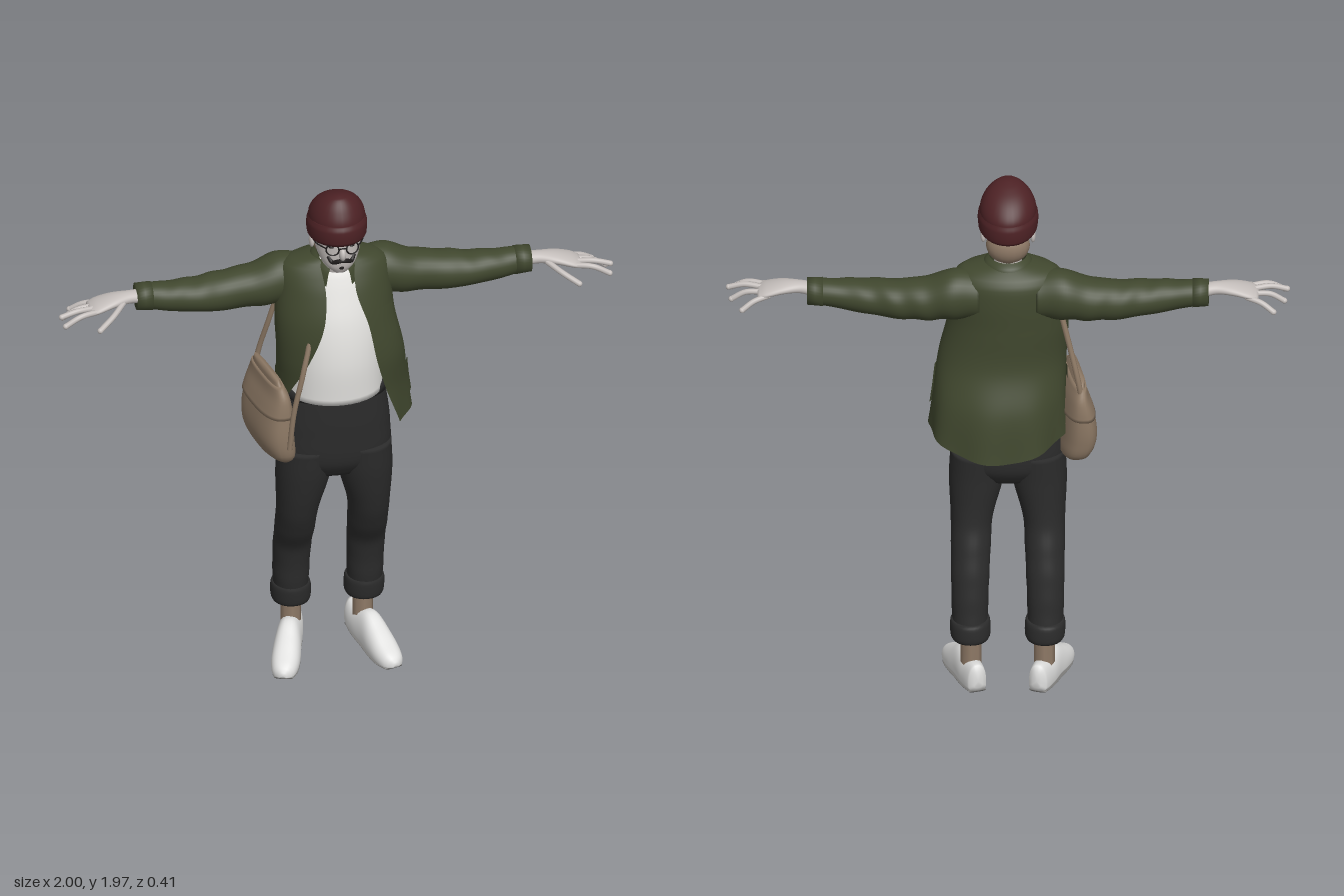
import * as THREE from 'three';

const mat = (name, color, side = THREE.FrontSide) => {
  const m = new THREE.MeshStandardMaterial({ color, side });
  m.name = name;
  return m;
};
const V = (x, y, z) => new THREE.Vector3(x, y, z);
const TAU = Math.PI * 2;

// Smoothly interpolates rows of numbers; the first column is the key.
function sample(rows, k) {
  let i = 0;
  while (i < rows.length - 2 && k > rows[i + 1][0]) i++;
  const A = rows[i], B = rows[i + 1], h = B[0] - A[0], t = (k - A[0]) / h;
  const P = rows[i - 1] || A, N = rows[i + 2] || B;
  return A.map((a, c) => {
    if (c === 0) return k;
    const m0 = (B[c] - P[c]) / (B[0] - P[0]) * h, m1 = (N[c] - A[c]) / (N[0] - A[0]) * h;
    const t2 = t * t, t3 = t2 * t;
    return (2 * t3 - 3 * t2 + 1) * a + (t3 - 2 * t2 + t) * m0 + (3 * t2 - 2 * t3) * B[c] + (t3 - t2) * m1;
  });
}

// Skin over cross-sections: point(row, u) gives each ring, u runs 0..1.
function loft(rows, point, { n = 24, m = 32, closed = true } = {}) {
  const k0 = rows[0][0], k1 = rows[rows.length - 1][0], rings = [];
  for (let i = 0; i <= n; i++) {
    const row = sample(rows, k0 + (k1 - k0) * i / n), ring = [];
    for (let j = 0; j < (closed ? m : m + 1); j++) ring.push(point(row, j / m));
    rings.push(ring);
  }
  if (closed) {
    const cap = r => {
      const c = r.reduce((s, p) => s.add(p), V(0, 0, 0)).divideScalar(r.length);
      return r.map(() => c);
    };
    rings.unshift(cap(rings[0]));
    rings.push(cap(rings[rings.length - 1]));
  }
  const w = rings[0].length, idx = [];
  for (let i = 0; i < rings.length - 1; i++) for (let j = 0; j < m; j++) {
    const a = i * w + j, b = i * w + (j + 1) % w, c = a + w, d = b + w;
    idx.push(a, c, b, b, c, d);
  }
  const g = new THREE.BufferGeometry().setFromPoints(rings.flat());
  g.setIndex(idx);
  g.computeVertexNormals();
  return g;
}

const spow = (v, e) => Math.sign(v) * Math.abs(v) ** e;
// Upright ring, rows [y, cx, cz, rx, rz]
const upright = (e = 1) => ([y, cx, cz, rx, rz], u) =>
  V(cx + rx * spow(Math.cos(u * TAU), e), y, cz + rz * spow(Math.sin(u * TAU), e));
// Ring around the x axis, rows [x, cy, cz, ry, rz]
const sideways = (fold = 0) => ([x, cy, cz, ry, rz], u) => {
  const t = u * TAU, k = 1 + fold * Math.sin(x * 48 + 2 * Math.sin(t + x * 9));
  return V(x, cy + ry * k * Math.sin(t), cz + rz * k * Math.cos(t));
};

export function createModel() {
  const root = new THREE.Group();
  root.name = 'standingMan';
  const M = {
    jacket: mat('olive jacket', 0x40472e, THREE.DoubleSide),
    pants: mat('charcoal trousers', 0x2b2b2b),
    hat: mat('maroon knit', 0x4c2124),
    shirt: mat('white shirt', 0xe4e3e0),
    shoe: mat('white shoe', 0xe0e0df),
    skin: mat('pale skin', 0xc4bebb),
    tan: mat('tan skin', 0x8f7a67),
    bag: mat('tan bag', 0x8c7864),
    dark: mat('dark hair', 0x1f1c1c),
    sole: mat('grey sole', 0x7c7b79),
  };
  const add = (name, geo, material, parent = root) => {
    const mesh = new THREE.Mesh(geo, material);
    mesh.name = name;
    parent.add(mesh);
    return mesh;
  };
  const tube = (pts, r, seg = 16) => new THREE.TubeGeometry(new THREE.CatmullRomCurve3(pts.map(p => V(...p))), seg, r, 8);
  const ball = (name, material, p, s, parent) => {
    const b = add(name, new THREE.SphereGeometry(1, 20, 14), material, parent);
    b.position.set(...p);
    b.scale.set(...s);
    return b;
  };

  // Shirt and hips
  add('shirt', loft([[1.14, 0, .05, .17, .14], [1.3, 0, .05, .17, .148], [1.45, 0, .045, .165, .135],
    [1.58, 0, .04, .13, .1], [1.64, 0, .045, .075, .072]], upright()), M.shirt);
  add('hips', loft([[.81, 0, .035, .13, .08], [.87, 0, .035, .195, .113], [1, 0, .038, .2, .118],
    [1.1, 0, .04, .188, .116], [1.17, 0, .04, .175, .114]], upright(.9)), M.pants);
  add('waistband', loft([[1.13, 0, .04, .186, .119], [1.165, 0, .04, .181, .118]], upright(.9), { n: 2 }), M.pants);

  // Open jacket, rows [y, cx, cz, rx, rz, right opening angle, left opening angle]
  const jacketRows = [[1, .035, 0, .245, .19, 1.35, .9], [1.15, .03, .01, .235, .175, 1.05, .65],
    [1.3, .02, .045, .228, .155, .66, .5], [1.45, 0, .045, .215, .147, .31, .48], [1.57, 0, .03, .205, .13, .25, .3],
    [1.64, 0, .02, .195, .108, .3, .3], [1.672, 0, .025, .16, .085, .4, .4], [1.69, 0, .035, .085, .07, .6, .6]];
  const jacketAt = (row, a, off = 0) => {
    const [y, cx, cz, rx, rz] = row, f = Math.min(1, Math.max(0, (1.35 - y) / .35)) ** 2;
    const k = 1 + .025 * f * Math.sin(8 * a);
    return V(cx - (rx * k + off) * Math.sin(a), y - .03 * f * Math.cos(2 * a), cz + (rz * k + off) * Math.cos(a));
  };
  add('jacketBody', loft(jacketRows, (r, u) => jacketAt(r, r[5] + u * (TAU - r[5] - r[6])),
    { n: 44, m: 64, closed: false }), M.jacket);
  const panel = (name, y0, y1, a0, a1) => add(name, loft([[y0], [y1]],
    ([y], u) => jacketAt(sample(jacketRows, y), a0 + u * (a1 - a0), .006), { n: 8, m: 10, closed: false }), M.jacket);
  panel('chestPocket', 1.38, 1.49, 5.15, 5.65);
  panel('chestPocketFlap', 1.47, 1.5, 5.13, 5.67);
  panel('leftPocket', 1.08, 1.24, 4.85, 5.4);
  panel('rightPocket', 1.1, 1.24, 1.15, 1.55);

  // Folded collar with pointed front corners
  add('collar', loft([[0, 1.652, .1, .088, .03], [.6, 1.69, .083, .078, .035], [1, 1.705, .066, .064, .042]],
    ([k, y, rx, rz, cz], u) => {
      const a = .42 + u * (TAU - .84), c = Math.max(0, Math.cos(a));
      return V(-rx * Math.sin(a) * (1 + .15 * c), y - (.06 - .015 * k) * c * c, cz + (rz + .03 * c) * Math.cos(a));
    }, { n: 8, m: 40, closed: false }), M.jacket);

  // Neck and head
  add('neck', tube([[0, 1.59, .045], [0, 1.66, .065], [0, 1.75, .085]], .05), M.skin);
  add('head', loft([[1.674, 0, .142, .026, .026], [1.7, 0, .125, .055, .056], [1.74, 0, .105, .075, .082],
    [1.78, 0, .09, .083, .1], [1.84, 0, .085, .087, .108]], upright(.92)), M.skin);
  ball('nape', M.tan, [0, 1.745, .045], [.078, .07, .06]);
  ball('nose', M.skin, [0, 1.765, .195], [.013, .026, .02]);
  add('moustache', tube([[-.046, 1.748, .168], [-.034, 1.729, .182], [-.014, 1.738, .197], [0, 1.742, .2],
    [.014, 1.738, .197], [.034, 1.729, .182], [.046, 1.748, .168]], .008, 32), M.dark);
  ball('chinTuft', M.dark, [0, 1.702, .178], [.01, .009, .006]);
  add('glassesBridge', tube([[-.013, 1.79, .202], [0, 1.795, .207], [.013, 1.79, .202]], .0025), M.dark);

  // Knit cap: crown leaning forward and rolled brim, lower at the back
  const capRing = (r, u) => {
    const p = upright()(r, u);
    p.y += (p.z - .087) * .08;
    return p;
  };
  add('capCrown', loft([[1.84, 0, .086, .1, .122], [1.88, 0, .085, .1, .118], [1.915, 0, .09, .088, .098],
    [1.943, 0, .1, .066, .07], [1.963, 0, .115, .034, .034], [1.967, 0, .118, .015, .015]], capRing), M.hat);
  add('capBrim', loft([[1.793, 0, .087, .098, .12], [1.805, 0, .087, .105, .129], [1.85, 0, .087, .107, .13],
    [1.872, 0, .086, .1, .121]], capRing), M.hat);

  // Paired parts, built for the left and mirrored for the right
  for (const s of [1, -1]) {
    const g = new THREE.Group();
    g.name = s > 0 ? 'leftSide' : 'rightSide';
    g.scale.x = s;
    root.add(g);

    // Face details
    ball('ear', M.skin, [.088, 1.765, .075], [.01, .027, .018], g);
    ball('eye', M.dark, [.034, 1.79, .178], [.013, .006, .008], g);
    const rim = add('glassesRim', new THREE.TorusGeometry(.023, .0028, 6, 24), M.dark, g);
    rim.position.set(.036, 1.788, .197);
    rim.rotation.y = .25;
    add('glassesTemple', tube([[.058, 1.793, .192], [.084, 1.79, .14], [.09, 1.785, .07]], .0025), M.dark, g);

    // Sleeve and cuff
    add('sleeve', loft([[.1, 1.575, -.01, .086, .08], [.2, 1.575, -.01, .093, .088], [.3, 1.555, -.01, .077, .08],
      [.42, 1.55, 0, .069, .075], [.5, 1.552, .012, .062, .07], [.6, 1.56, .015, .053, .057],
      [.705, 1.568, .015, .045, .045]], sideways(.025), { n: 60 }), M.jacket, g);
    add('cuff', loft([[.655, 1.566, .015, .052, .052], [.712, 1.568, .015, .049, .049]], sideways(), { n: 2 }), M.jacket, g);

    // Hand with spread fingers
    add('palm', loft([[.69, 1.572, .022, .025, .031], [.74, 1.578, .03, .022, .03], [.8, 1.574, .036, .021, .045],
      [.86, 1.56, .04, .018, .054], [.888, 1.552, .042, .011, .046]], sideways()), M.skin, g);
    const fingers = {
      thumb: [[.765, 1.572, .06], [.81, 1.55, .11], [.865, 1.52, .148]],
      indexFinger: [[.86, 1.558, .08], [.925, 1.556, .1], [.982, 1.528, .108]],
      middleFinger: [[.87, 1.56, .055], [.935, 1.562, .07], [.99, 1.548, .075]],
      ringFinger: [[.865, 1.556, .028], [.93, 1.55, .036], [.98, 1.522, .036]],
      littleFinger: [[.845, 1.556, .002], [.9, 1.542, -.016], [.942, 1.515, -.032]],
    };
    for (const [name, pts] of Object.entries(fingers)) {
      add(name, tube(pts, .0105), M.skin, g);
      ball(name + 'Tip', M.skin, pts[2], [.0105, .0105, .0105], g);
    }

    // Trouser leg, turn-up and ankle
    add('trouserLeg', loft([[.22, .132, -.088, .063, .07], [.3, .134, -.08, .064, .07], [.45, .133, -.058, .068, .069],
      [.55, .131, -.018, .071, .084], [.65, .128, .015, .075, .09], [.8, .112, .034, .097, .105],
      [.92, .104, .038, .1, .115]], ([y, cx, cz, rx, rz], u) => {
      const k = 1 + .018 * Math.sin(y * 60 + 2 * Math.sin(u * TAU)) * Math.max(0, 1 - y / .75);
      return upright(.95)([y, cx, cz, rx * k, rz * k], u);
    }, { n: 50 }), M.pants, g);
    add('turnUp', loft([[.21, .132, -.09, .066, .073], [.222, .132, -.09, .071, .077], [.272, .133, -.086, .071, .077],
      [.285, .133, -.084, .066, .072]], upright(.95), { n: 10 }), M.pants, g);
    add('ankle', tube([[.132, .26, -.1], [.13, .16, -.1], [.13, .08, -.1]], .037), M.tan, g);

    // Shoe along z, rows [z, bottom, top, half width], toes turned out
    const foot = new THREE.Group();
    foot.name = 'foot';
    foot.position.set(.13, 0, -.1);
    foot.rotation.y = .3;
    g.add(foot);
    const shoeRows = [[-.09, .05, .115, .016], [-.08, .032, .135, .032], [-.01, .022, .13, .043], [.065, .014, .145, .046],
      [.13, .008, .112, .051], [.19, .004, .077, .049], [.235, .004, .052, .035], [.252, .012, .034, .013]];
    add('shoe', loft(shoeRows, ([z, b, t, w], u) => {
      const c = Math.cos(u * TAU), sn = Math.sin(u * TAU), mid = b + (t - b) * .35;
      return V(w * spow(sn, .8), c > 0 ? mid + (t - mid) * c : mid + (mid - b) * spow(c, .45), z);
    }, { n: 32 }), M.shoe, foot);
    add('sole', loft(shoeRows.slice(1, 7), ([z, b, t, w], u) =>
      V(w * .96 * spow(Math.sin(u * TAU), .7), b + .001 + .005 * Math.cos(u * TAU), z), { n: 20 }), M.sole, foot);
  }

  // Shoulder bag on the right hip
  const bagRing = grow => ([y, cx, cz, rx, rz], u) => {
    const p = upright(.75)([y, cx, cz, rx + grow, rz + grow], u);
    p.x += (p.z - .04) * .2;
    return p;
  };
  const bagRows = [[.905, -.215, .06, .025, .09], [.93, -.225, .05, .052, .13], [1, -.24, .045, .065, .148],
    [1.1, -.24, .04, .055, .148], [1.18, -.235, .04, .032, .138], [1.245, -.245, .04, .012, .1]];
  add('bag', loft(bagRows, bagRing(0)), M.bag);
  add('bagFlap', loft([1.1, 1.14, 1.18, 1.22].map(y => sample(bagRows, y)), bagRing(.005), { n: 10 }), M.bag);
  add('frontStrap', tube([[-.19, .98, .19], [-.175, 1.13, .195], [-.14, 1.29, .19], [-.11, 1.42, .155], [-.12, 1.52, .11]], .01), M.bag);
  add('backStrap', tube([[-.265, 1.16, -.08], [-.25, 1.25, -.075], [-.222, 1.37, -.05], [-.19, 1.5, -.03]], .01), M.bag);
  return root;
}
